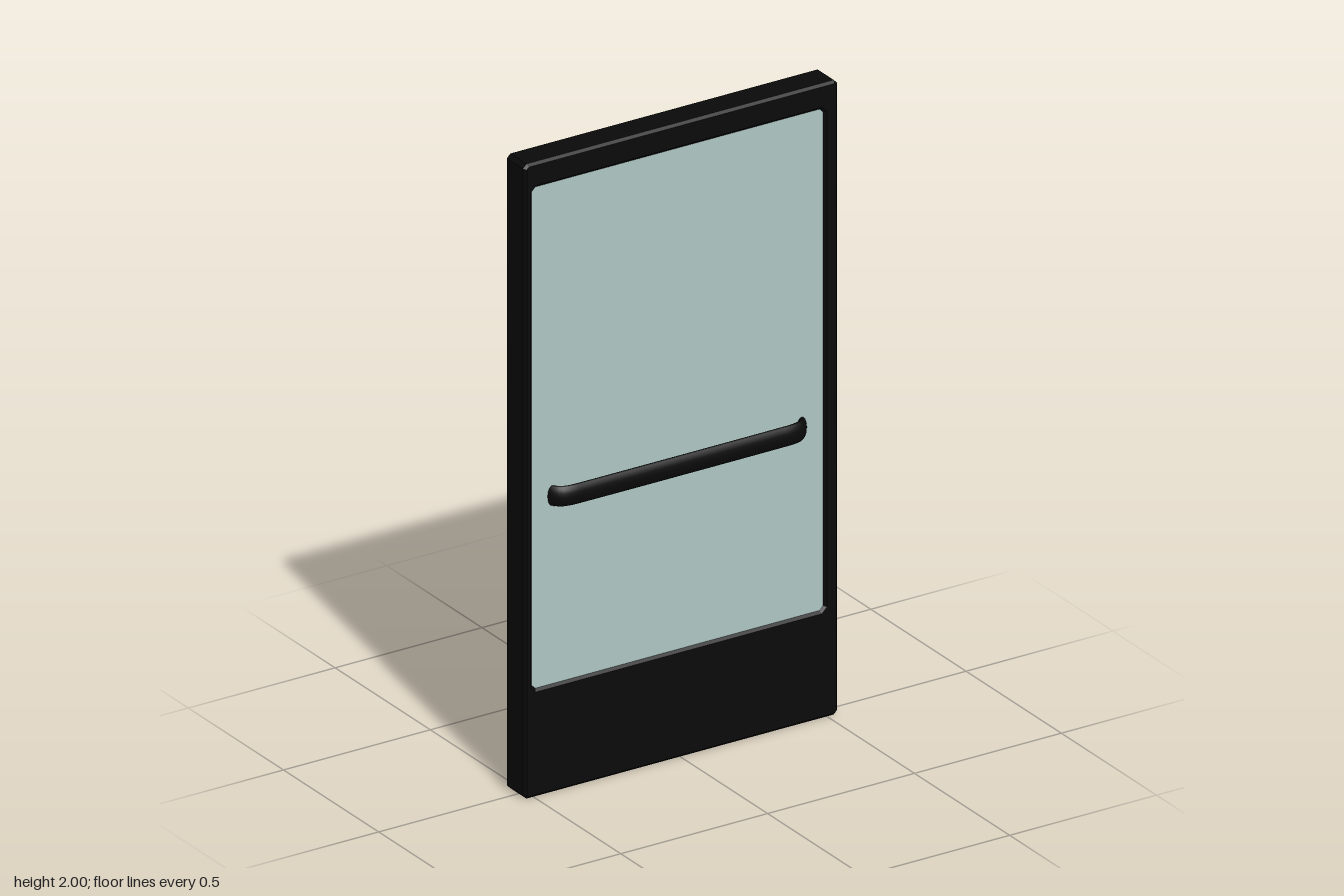
import * as THREE from 'three';

// Rectangle with clipped corners
function clippedRect(PathType, x0, x1, y0, y1, c) {
  const p = new PathType();
  p.moveTo(x0 + c, y0);
  p.lineTo(x1 - c, y0);
  p.lineTo(x1, y0 + c);
  p.lineTo(x1, y1 - c);
  p.lineTo(x1 - c, y1);
  p.lineTo(x0 + c, y1);
  p.lineTo(x0, y1 - c);
  p.lineTo(x0, y0 + c);
  p.closePath();
  return p;
}

export function createModel() {
  const door = new THREE.Group();
  door.name = 'glassDoor';
  const black = new THREE.MeshStandardMaterial({ color: 0x0a0a0a });
  const glass = new THREE.MeshStandardMaterial({ color: 0xb0c8c5 });

  const add = (name, geometry, material) => {
    const mesh = new THREE.Mesh(geometry, material);
    mesh.name = name;
    door.add(mesh);
    return mesh;
  };

  // Frame with a tall kick rail, bevelled all round
  const depth = 0.1, bevel = 0.008;
  const outline = clippedRect(THREE.Shape, -0.535, 0.535, 0, 2, 0.012);
  outline.holes.push(clippedRect(THREE.Path, -0.505, 0.487, 0.34, 1.92, 0.012));
  const frame = new THREE.ExtrudeGeometry(outline, {
    depth: depth - 2 * bevel,
    bevelThickness: bevel, bevelSize: bevel, bevelOffset: -bevel, bevelSegments: 1,
  });
  frame.translate(0, 0, -depth / 2 + bevel - 0.002);
  add('frame', frame, black);

  // Pane, set almost flush with both faces
  add('pane', new THREE.BoxGeometry(1.0, 1.59, 0.084), glass).position.set(-0.009, 1.13, -0.002);

  // Flattened pull bar with bent ends, one on each face
  const half = [[0.43, 0.03], [0.422, 0.046], [0.405, 0.061], [0.375, 0.068], [0.33, 0.069]];
  const points = [
    ...half.map(([x, z]) => new THREE.Vector3(-x, 0, z)),
    ...half.slice().reverse().map(([x, z]) => new THREE.Vector3(x, 0, z)),
  ];
  const path = new THREE.CatmullRomCurve3(points, false, 'centripetal');
  const bar = new THREE.TubeGeometry(path, 80, 0.0145, 16, false);
  bar.scale(1, 2.2, 1);
  bar.computeVertexNormals();
  for (const [name, turn] of [['frontHandle', 0], ['backHandle', Math.PI]]) {
    const handle = add(name, bar, black);
    handle.position.set(-0.01, 0.933, -0.0015);
    handle.rotation.y = turn;
  }

  return door;
}
